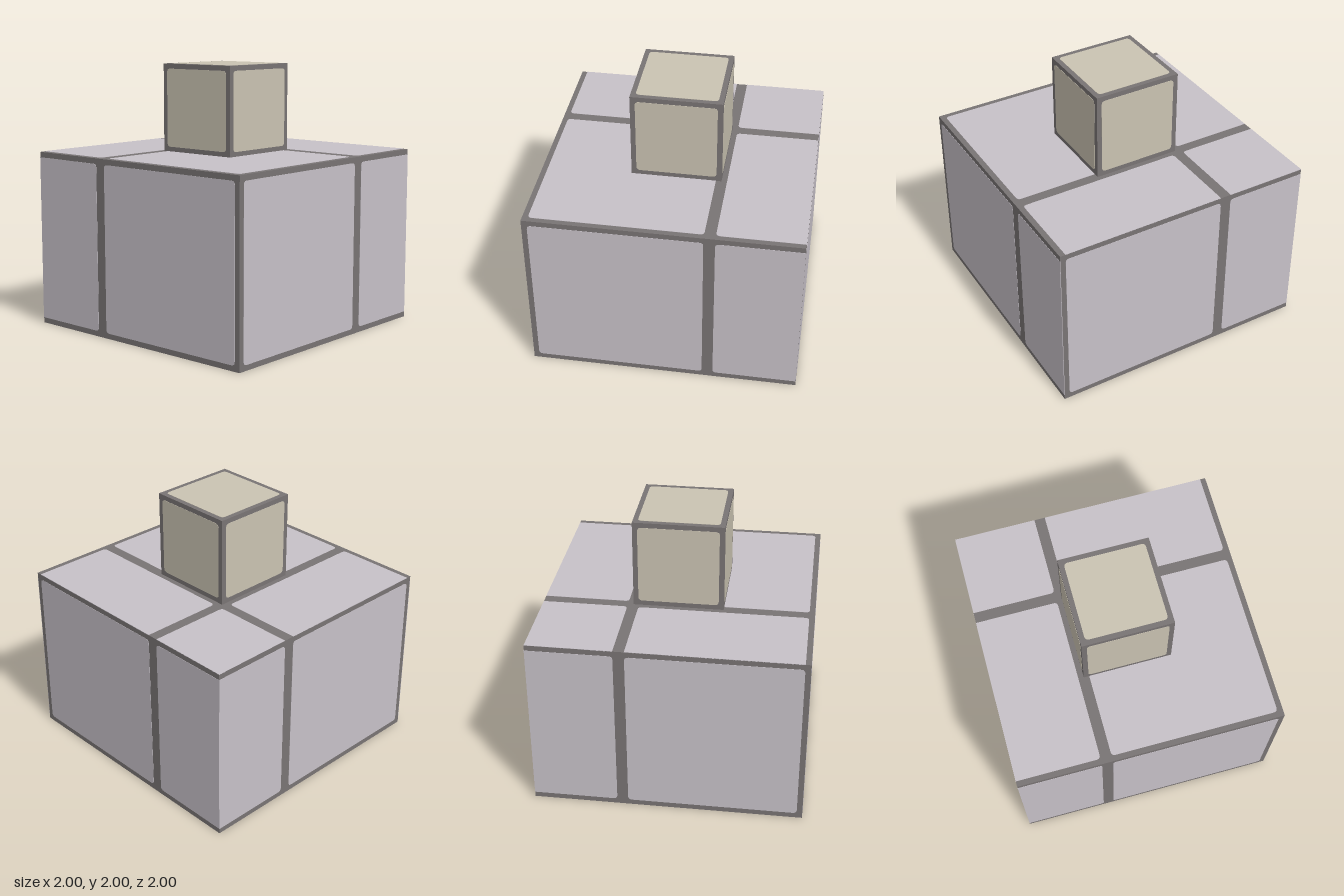
import * as THREE from 'three';

const mortar = new THREE.MeshStandardMaterial({ name: 'greyMortar', color: 0x797474, side: THREE.DoubleSide });
const lilac = new THREE.MeshStandardMaterial({ name: 'paleLilac', color: 0xc7c1c8 });
const cream = new THREE.MeshStandardMaterial({ name: 'cream', color: 0xcac3b2 });

const PLATE = 0.004;

// Rectangle whose corners are rounded except where the tile is cut off at the right or top
function tileShape(x0, y0, x1, y1, r, cutRight, cutTop) {
  const br = cutRight ? 0 : r, tl = cutTop ? 0 : r, tr = cutRight || cutTop ? 0 : r;
  const s = new THREE.Shape();
  s.moveTo(x0 + r, y0);
  s.lineTo(x1 - br, y0);
  if (br) s.quadraticCurveTo(x1, y0, x1, y0 + br);
  s.lineTo(x1, y1 - tr);
  if (tr) s.quadraticCurveTo(x1, y1, x1 - tr, y1);
  s.lineTo(x0 + tl, y1);
  if (tl) s.quadraticCurveTo(x0, y1, x0, y1 - tl);
  s.lineTo(x0, y0 + r);
  s.quadraticCurveTo(x0, y0, x0 + r, y0);
  return s;
}

// One thin wall starting at a corner, covered with tiles seen from both sides
function tiledWall(name, w, h, cell, margin, material) {
  const wall = new THREE.Group();
  wall.name = name;
  const backing = new THREE.Mesh(new THREE.PlaneGeometry(w, h).translate(w / 2, h / 2, 0), mortar);
  backing.name = name + 'Mortar';
  wall.add(backing);
  const eps = 0.001;
  for (let u = 0; u < w - eps; u += cell) {
    for (let v = 0; v < h - eps; v += cell) {
      const cutRight = u + cell > w + eps, cutTop = v + cell > h + eps;
      const shape = tileShape(u + margin, v + margin,
        cutRight ? w : u + cell - margin, cutTop ? h : v + cell - margin, 0.03, cutRight, cutTop);
      const geometry = new THREE.ExtrudeGeometry(shape, { depth: PLATE, bevelEnabled: false, curveSegments: 5 });
      const tile = new THREE.Mesh(geometry.translate(0, 0, -PLATE / 2), material);
      tile.name = name + 'Tile';
      wall.add(tile);
    }
  }
  return wall;
}

// Block with four walls and a top, open underneath
function tiledBlock(name, w, h, cell, margin, material) {
  const block = new THREE.Group();
  block.name = name;
  const r = w / 2;
  const place = (side, height, x, y, z, rx, ry) => {
    const wall = tiledWall(side, w, height, cell, margin, material);
    wall.position.set(x, y, z);
    wall.rotation.set(rx, ry, 0);
    block.add(wall);
  };
  place('frontWall', h, -r, 0, r, 0, 0);
  place('backWall', h, -r, 0, -r, 0, 0);
  place('leftWall', h, r, 0, r, 0, Math.PI / 2);
  place('rightWall', h, -r, 0, r, 0, Math.PI / 2);
  place('top', w, -r, h, r, -Math.PI / 2, 0);
  return block;
}

export function createModel() {
  const model = new THREE.Group();
  model.name = 'tiledBlocks';
  const baseHeight = 4 / 3, cubeSize = 2 / 3;
  model.add(tiledBlock('baseBlock', 2, baseHeight, baseHeight, 0.041, lilac));
  const cube = tiledBlock('topCube', cubeSize, cubeSize, cubeSize, 0.037, cream);
  cube.position.y = baseHeight;
  model.add(cube);
  return model;
}
